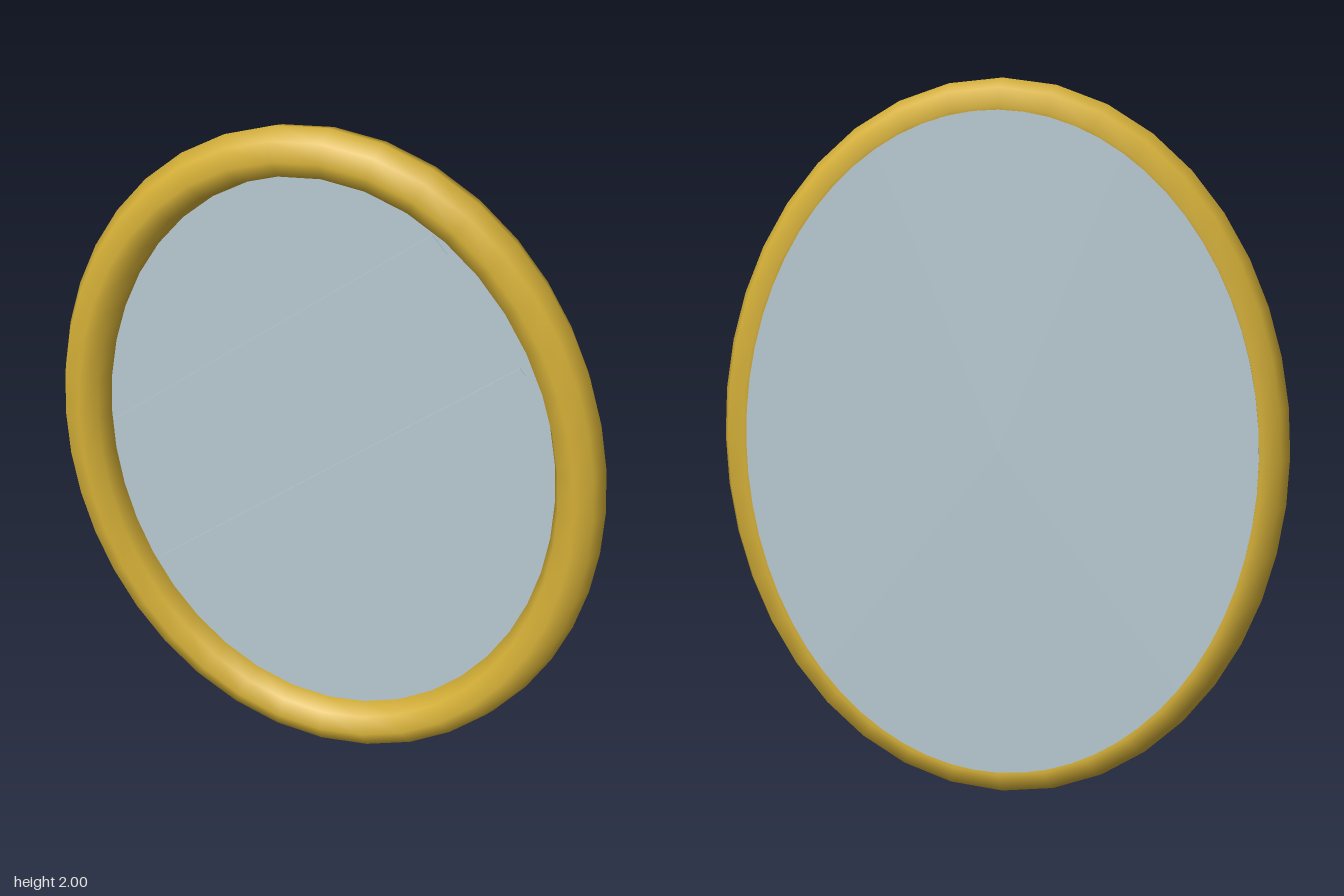
import * as THREE from 'three';

const gold = new THREE.MeshStandardMaterial({ color: 0xd4af37 });
gold.name = 'gold';
const silver = new THREE.MeshStandardMaterial({ color: 0xb8cad2 });
silver.name = 'silver glass';

// Centre line of the oval frame
class OvalCurve extends THREE.Curve {
  getPoint(t, target = new THREE.Vector3()) {
    const a = t * Math.PI * 2;
    return target.set(0.714 * Math.cos(a), 0.93 * Math.sin(a), 0);
  }
}

export function createModel() {
  const model = new THREE.Group();
  model.name = 'ovalMirror';

  function add(name, geometry, material, x, y, z) {
    const mesh = new THREE.Mesh(geometry, material);
    mesh.name = name;
    mesh.position.set(x, y, z);
    model.add(mesh);
    return mesh;
  }

  // Round frame rail
  add('frame', new THREE.TubeGeometry(new OvalCurve(), 40, 0.07, 8, true), gold, 0, 1, 0);

  // Oval glass, from the middle of the frame to its back
  const glass = new THREE.CylinderGeometry(1, 1, 0.07, 64);
  glass.rotateX(Math.PI / 2).scale(0.705, 0.921, 1);
  add('glass', glass, silver, 0, 1, -0.035);

  // Slanted reflection strips: x, y, length, width
  const strips = [
    ['wideReflection', -0.155, 1.34, 1.197, 0.065],
    ['narrowReflection', 0.02, 0.957, 1.352, 0.026],
  ];
  for (const [name, x, y, length, width] of strips) {
    const strip = add(name, new THREE.BoxGeometry(length, width, 0.006), silver, x, y, 0.002);
    strip.rotation.z = THREE.MathUtils.degToRad(40);
  }

  return model;
}
